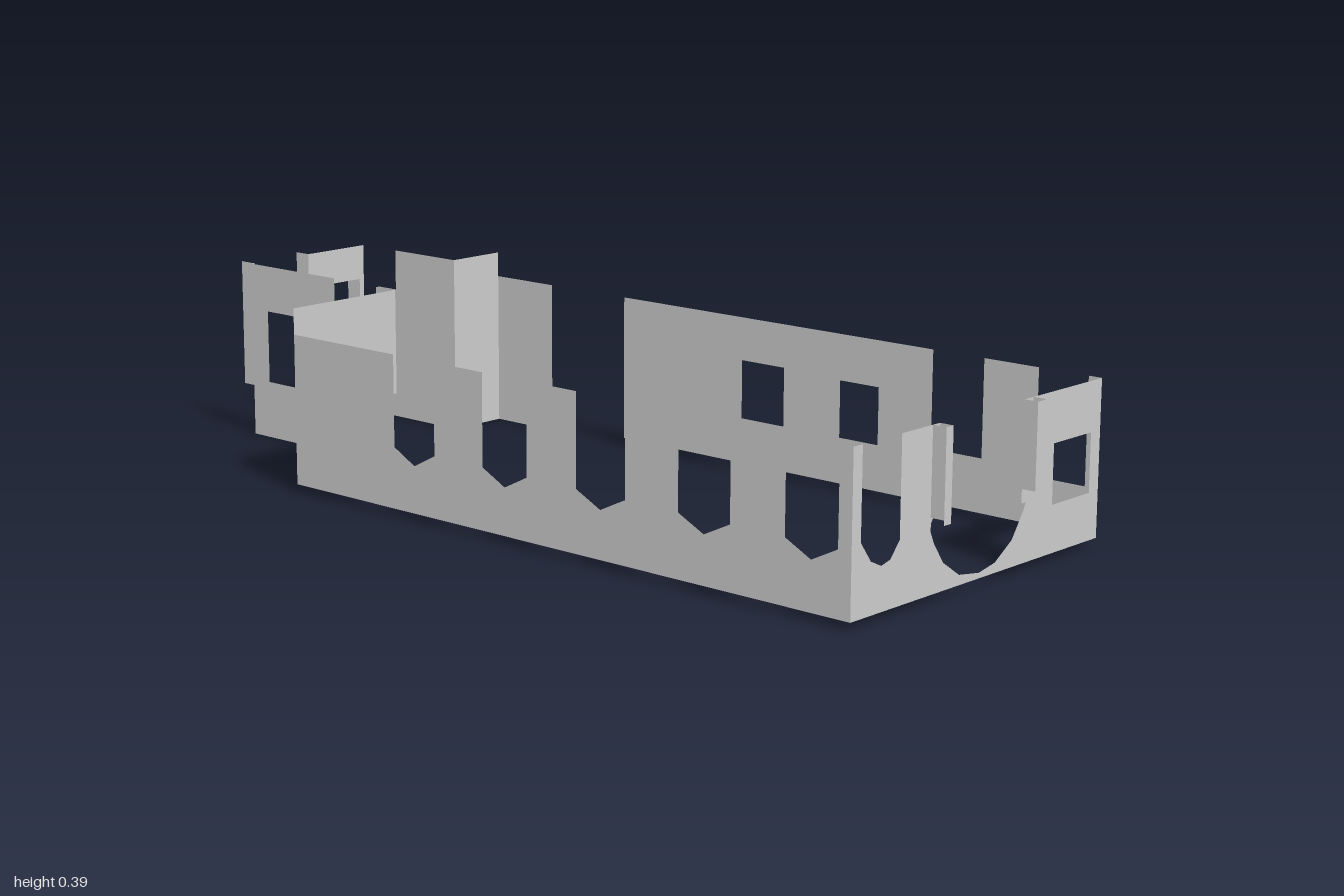
import * as THREE from 'three';

export function createModel() {
  const model = new THREE.Group();
  const material = new THREE.MeshStandardMaterial({ color: 0xcccccc, side: THREE.DoubleSide, flatShading: true });
  const path = (pts) => pts.map(([u, v]) => new THREE.Vector2(u, v));
  const rect = (u0, u1, v0, v1) => [[u0, v0], [u1, v0], [u1, v1], [u0, v1]];

  // Flat sheet wall: 'z' walls use (x, y) outlines, 'x' walls use (z, y) outlines
  function wall(name, axis, at, outline, holes = []) {
    const shape = new THREE.Shape(path(outline));
    for (const h of holes) shape.holes.push(new THREE.Path(path(h)));
    const geo = new THREE.ShapeGeometry(shape);
    if (axis === 'x') geo.rotateY(-Math.PI / 2).translate(at, 0, 0);
    else geo.translate(0, 0, at);
    geo.computeVertexNormals();
    const mesh = new THREE.Mesh(geo, material);
    mesh.name = name;
    model.add(mesh);
  }

  // Front wall: pointed slot, wide rounded gateway and a square window
  wall('frontWall', 'z', 0.97, [
    [-0.387, 0.017], [0.386, 0.017], [0.386, 0.335], [0.128, 0.335], [0.128, 0.135],
    [0.142, 0.135], [0.135, 0.12], [0.1, 0.07], [0.047, 0.037], [-0.003, 0.028],
    [-0.065, 0.037], [-0.115, 0.07], [-0.145, 0.112], [-0.157, 0.138], [-0.155, 0.153],
    [-0.148, 0.163], [-0.136, 0.163], [-0.136, 0.335], [-0.248, 0.335], [-0.248, 0.14],
    [-0.275, 0.109], [-0.301, 0.103], [-0.331, 0.117], [-0.361, 0.157], [-0.361, 0.335],
    [-0.387, 0.335],
  ], [rect(0.23, 0.355, 0.113, 0.233)]);

  // Gateway jambs standing proud of the front
  for (const [a, b, y0] of [[-0.157, -0.136, 0.153], [0.128, 0.156, 0.135]]) {
    wall('gateJambFace', 'z', 1, rect(a, b, y0, 0.335));
    for (const x of [a, b]) wall('gateJambSide', 'x', x, rect(0.97, 1, 0.163, 0.335));
  }

  // Left wall: five slots with V-shaped bottoms
  const left = [[-0.487, 0.017], [0.97, 0.017], [0.97, 0.335]];
  for (const [a, b] of [[0.94, 0.82], [0.692, 0.567], [0.435, 0.31], [0.18, 0.06], [-0.075, -0.19]])
    left.push([a, 0.335], [a, 0.145], [(a + b) / 2, 0.115], [b, 0.145], [b, 0.335]);
  left.push([-0.487, 0.335]);
  wall('leftWall', 'x', -0.387, left);

  // Right wall: two square slots and two windows
  wall('rightWall', 'x', 0.386, [
    [-0.27, 0.017], [0.97, 0.017], [0.97, 0.335], [0.94, 0.335], [0.94, 0.115],
    [0.825, 0.115], [0.825, 0.335], [0.695, 0.335], [0.695, 0.13], [0.57, 0.13],
    [0.57, 0.335], [-0.27, 0.335],
  ], [rect(0.335, 0.435, 0.115, 0.237), rect(0.07, 0.185, 0.115, 0.242)]);

  // Cross wall closing the hall on the left, notched at its lower corner
  wall('crossWall', 'z', -0.487, [
    [-0.387, 0.017], [-0.133, 0.017], [-0.133, 0.165], [-0.1, 0.165], [-0.1, 0.39], [-0.387, 0.39],
  ]);
  wall('crossWallJamb', 'x', -0.102, rect(-0.545, -0.487, 0.185, 0.39));

  // Rear room, left side: one slot and one window
  wall('rearLeftWall', 'x', -0.095, [
    [-0.487, 0.39], [-0.487, 0.185], [-0.53, 0.185], [-0.53, 0], [-0.96, 0], [-0.96, 0.39],
    [-0.685, 0.39], [-0.685, 0.13], [-0.545, 0.13], [-0.545, 0.39],
  ], [rect(-0.907, -0.785, 0.127, 0.288)]);

  // Rear room, right side: stepped walls with a slot beside the back corner
  wall('rearRightOuterWall', 'x', 0.386, rect(-0.66, -0.49, 0, 0.335));
  wall('rearStepWall', 'z', -0.66, rect(0.245, 0.386, 0, 0.39));
  wall('rearRightInnerWall', 'x', 0.245, [
    [-0.66, 0], [-0.66, 0.39], [-0.852, 0.39], [-0.852, 0.205], [-0.96, 0.205], [-0.96, 0],
  ]);

  // Back wall: broad rounded opening and a round-bottomed window
  wall('backWall', 'z', -0.96, [
    [-0.095, 0], [0.245, 0], [0.245, 0.39], [0.075, 0.39], [0.075, 0.107], [0.081, 0.088],
    [0.055, 0.077], [0.02, 0.069], [-0.012, 0.067], [-0.045, 0.07], [-0.075, 0.079],
    [-0.093, 0.089], [-0.085, 0.107], [-0.085, 0.39], [-0.095, 0.39],
  ], [[
    [0.128, 0.312], [0.128, 0.186], [0.123, 0.172], [0.145, 0.153], [0.18, 0.145],
    [0.215, 0.153], [0.24, 0.172], [0.232, 0.186], [0.232, 0.312],
  ]]);

  // Jambs projecting behind the back opening and window
  for (const x of [-0.088, 0.075]) wall('backOpeningJamb', 'x', x, rect(-1, -0.96, 0.11, 0.39));
  for (const x of [0.128, 0.232]) wall('backWindowJamb', 'x', x, rect(-1, -0.96, 0.19, 0.312));

  return model;
}
